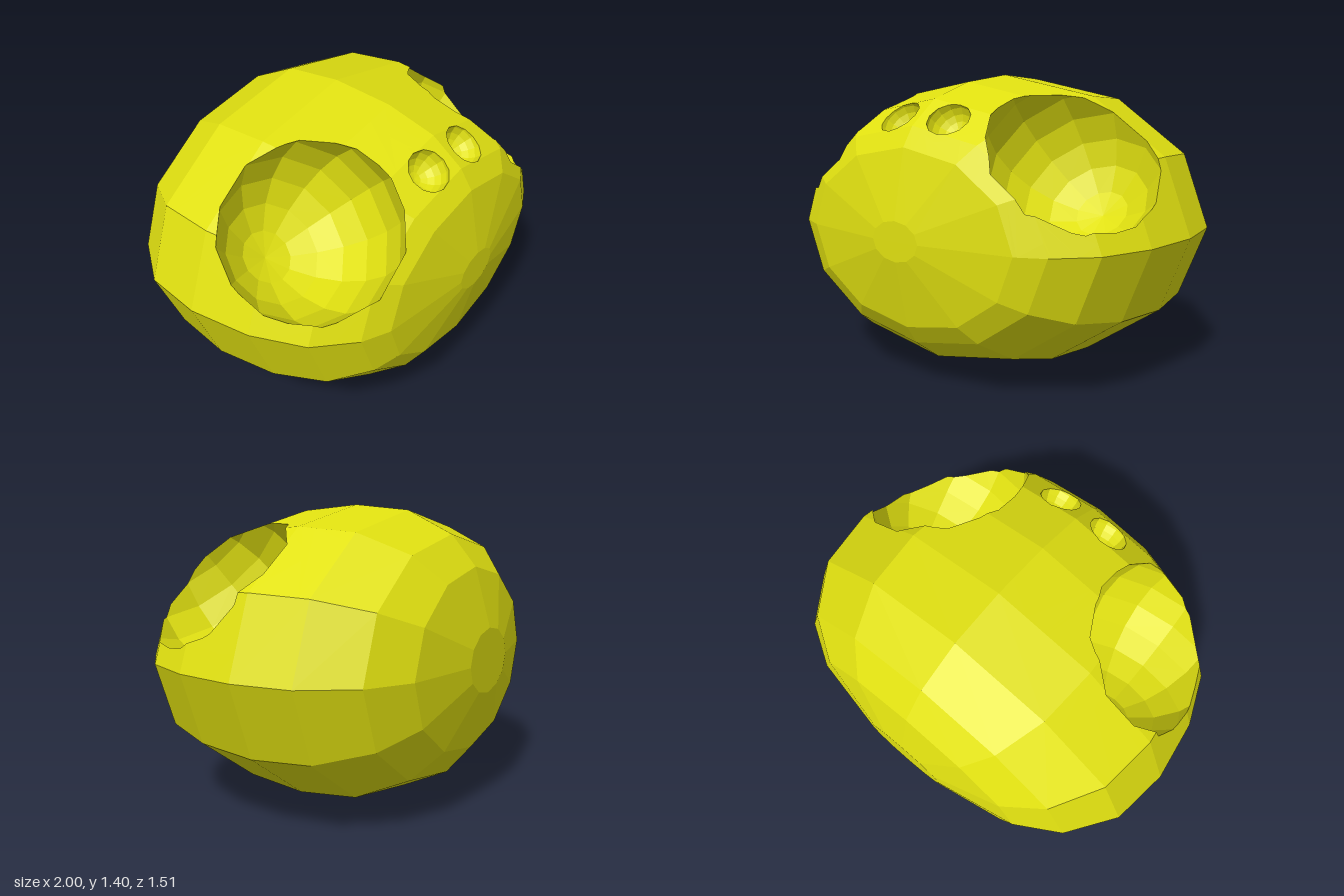
import * as THREE from 'three';

const EPS = 1e-5;

// Plane through a convex polygon, facing away from the given inner point
function planeOf(poly, inner) {
  const n = new THREE.Vector3();
  poly.forEach((p, i) => n.add(new THREE.Vector3().crossVectors(p, poly[(i + 1) % poly.length])));
  const plane = new THREE.Plane().setFromNormalAndCoplanarPoint(n.normalize(), poly[0]);
  if (plane.distanceToPoint(inner) > 0) plane.negate();
  return plane;
}

// Part of a convex polygon on one side (sign +1 in front, -1 behind) of a plane
function clip(poly, plane, sign) {
  const out = [];
  poly.forEach((a, i) => {
    const b = poly[(i + 1) % poly.length];
    const da = sign * plane.distanceToPoint(a), db = sign * plane.distanceToPoint(b);
    if (da >= -EPS) out.push(a);
    if ((da > EPS && db < -EPS) || (da < -EPS && db > EPS)) out.push(a.clone().lerp(b, da / (da - db)));
  });
  const solid = out.length > 2 && out.some(p => sign * plane.distanceToPoint(p) > EPS);
  return solid ? out : null;
}

// Pieces of a polygon left outside a convex hollow
function cutAway(poly, planes) {
  const kept = [];
  let rest = poly;
  for (const plane of planes) {
    const outside = clip(rest, plane, 1);
    if (outside) kept.push(outside);
    rest = clip(rest, plane, -1);
    if (!rest) return [poly];
  }
  return kept;
}

// Part of a polygon inside a convex solid
function keepInside(poly, planes) {
  for (const plane of planes) {
    poly = clip(poly, plane, -1);
    if (!poly) return [];
  }
  return [poly];
}

function polygonMesh(polys, material, name) {
  const pos = [];
  for (const p of polys) {
    for (let i = 1; i < p.length - 1; i++) for (const v of [p[0], p[i], p[i + 1]]) pos.push(v.x, v.y, v.z);
  }
  const geo = new THREE.BufferGeometry();
  geo.setAttribute('position', new THREE.Float32BufferAttribute(pos, 3));
  geo.computeVertexNormals();
  const mesh = new THREE.Mesh(geo, material);
  mesh.name = name;
  return mesh;
}

// Faceted shell: twelve-sided rings [z, radius] from front to back, flat caps
function shellPolygons() {
  const rings = [[0.757, 0.13], [0.69, 0.573], [0.63, 0.7], [0.48, 0.858], [0.24, 0.958],
    [-0.055, 1], [-0.335, 0.965], [-0.56, 0.81], [-0.68, 0.605], [-0.757, 0.215]]
    .map(([z, r]) => Array.from({ length: 12 }, (_, k) => {
      const a = k * Math.PI / 6;
      return new THREE.Vector3(r * Math.cos(a), 0.7 + 0.7 * r * Math.sin(a), z);
    }));
  const polys = [rings[0], [...rings[rings.length - 1]].reverse()];
  for (let i = 0; i < rings.length - 1; i++) {
    for (let k = 0; k < 12; k++) {
      const n = (k + 1) % 12;
      polys.push([rings[i][k], rings[i + 1][k], rings[i + 1][n], rings[i][n]]);
    }
  }
  return polys;
}

// Tilted low-poly ball used as a hollow
function hollow(name, x, y, z, r) {
  const geo = new THREE.SphereGeometry(r, 12, 10).rotateX(Math.PI / 4).translate(x, y, z).toNonIndexed();
  const pos = geo.attributes.position;
  const center = new THREE.Vector3(x, y, z);
  const polys = [];
  for (let i = 0; i < pos.count; i += 3) {
    polys.push([0, 1, 2].map(j => new THREE.Vector3().fromBufferAttribute(pos, i + j)));
  }
  return { name, polys, planes: polys.map(p => planeOf(p, center)) };
}

export function createModel() {
  const group = new THREE.Group();
  group.name = 'hollowedShell';
  const yellow = new THREE.MeshStandardMaterial({ color: 0xe0e010, flatShading: true });
  yellow.name = 'yellow';

  const shell = shellPolygons();
  const middle = new THREE.Vector3(0, 0.7, 0);
  const shellPlanes = shell.map(p => planeOf(p, middle));

  // Two large eye sockets and two small nostrils, mirrored
  const hollows = [];
  for (const [side, s] of [['left', 1], ['right', -1]]) {
    hollows.push(hollow(side + 'EyeSocket', s * 0.6, 1.05, 0.29, 0.4));
    hollows.push(hollow(side + 'Nostril', s * 0.14, 1.22, 0.555, 0.1));
  }

  // Shell with the openings cut out
  let cut = shell;
  for (const h of hollows) cut = cut.flatMap(p => cutAway(p, h.planes));
  group.add(polygonMesh(cut, yellow, 'shell'));

  // Inward-facing walls of each hollow
  for (const h of hollows) {
    const walls = h.polys.flatMap(p => keepInside(p, shellPlanes)).map(p => [...p].reverse());
    group.add(polygonMesh(walls, yellow, h.name));
  }
  return group;
}
